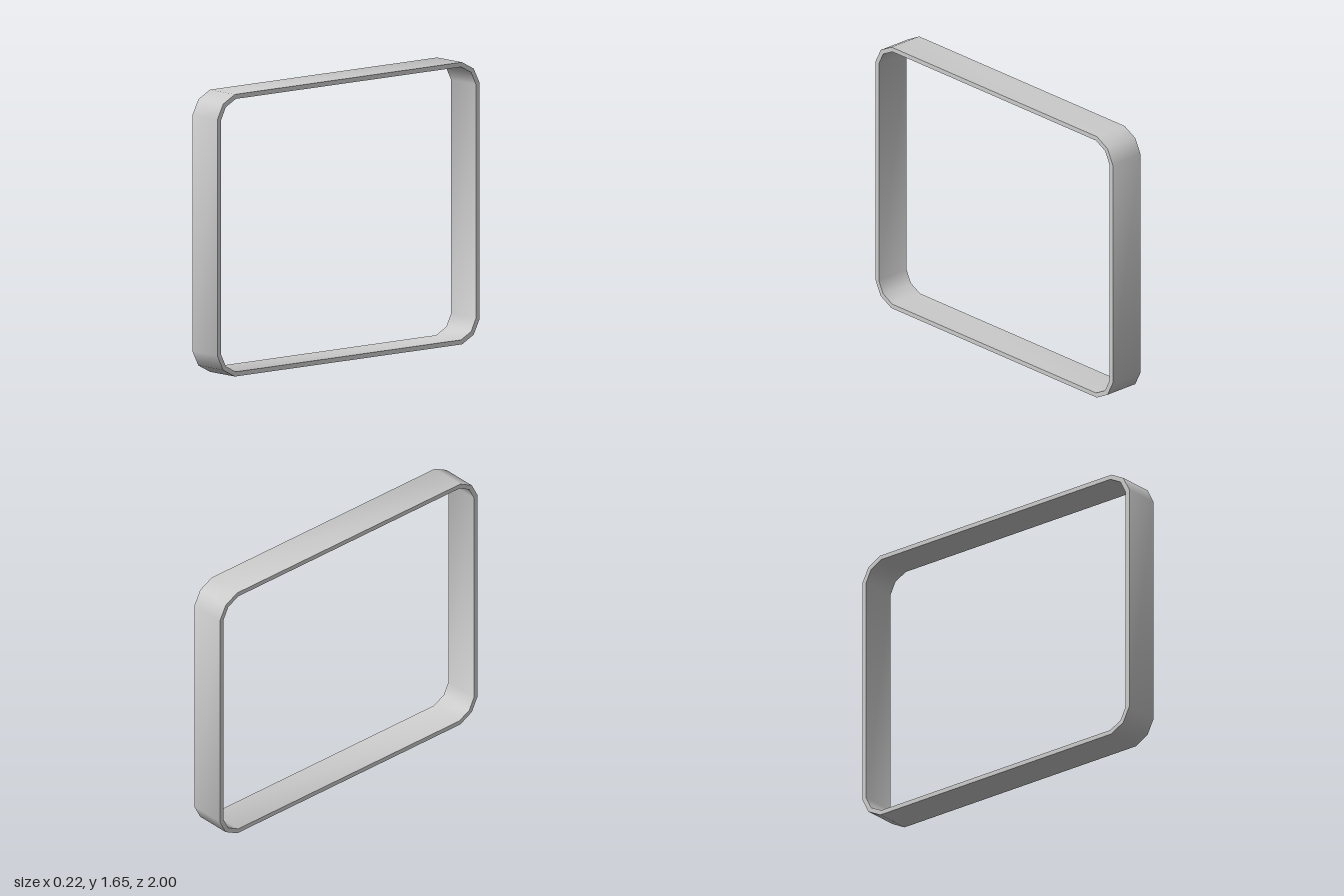
import * as THREE from 'three';
import { toCreasedNormals } from 'three/addons/utils/BufferGeometryUtils.js';

const HEIGHT = 1.65, WIDTH = 0.22;

// Rectangle outline with two-segment corners, mirrored from one corner
function outline(corner) {
  const points = [];
  for (const [sx, sy] of [[1, 1], [-1, 1], [-1, -1], [1, -1]]) {
    const pts = corner.map(([x, y]) => new THREE.Vector2(x * sx, y * sy + HEIGHT / 2));
    points.push(...(sx * sy > 0 ? pts : pts.reverse()));
  }
  return points;
}

export function createModel() {
  const group = new THREE.Group();
  group.name = 'frame';

  // Thin band: outer loop with the inner loop cut out
  const shape = new THREE.Shape(outline([[1, 0.69], [0.955, 0.778], [0.866, 0.825]]));
  shape.holes.push(new THREE.Path(outline([[0.972, 0.684], [0.935, 0.758], [0.858, 0.798]])));

  const band = new THREE.ExtrudeGeometry(shape, { depth: WIDTH, bevelEnabled: false });
  band.translate(0, 0, -WIDTH / 2);
  band.rotateY(Math.PI / 2);

  // Smooth around the corners, sharp along the rims
  const mesh = new THREE.Mesh(
    toCreasedNormals(band, 0.8),
    new THREE.MeshStandardMaterial({ color: 0xcccccc })
  );
  mesh.name = 'frameBand';
  group.add(mesh);
  return group;
}
